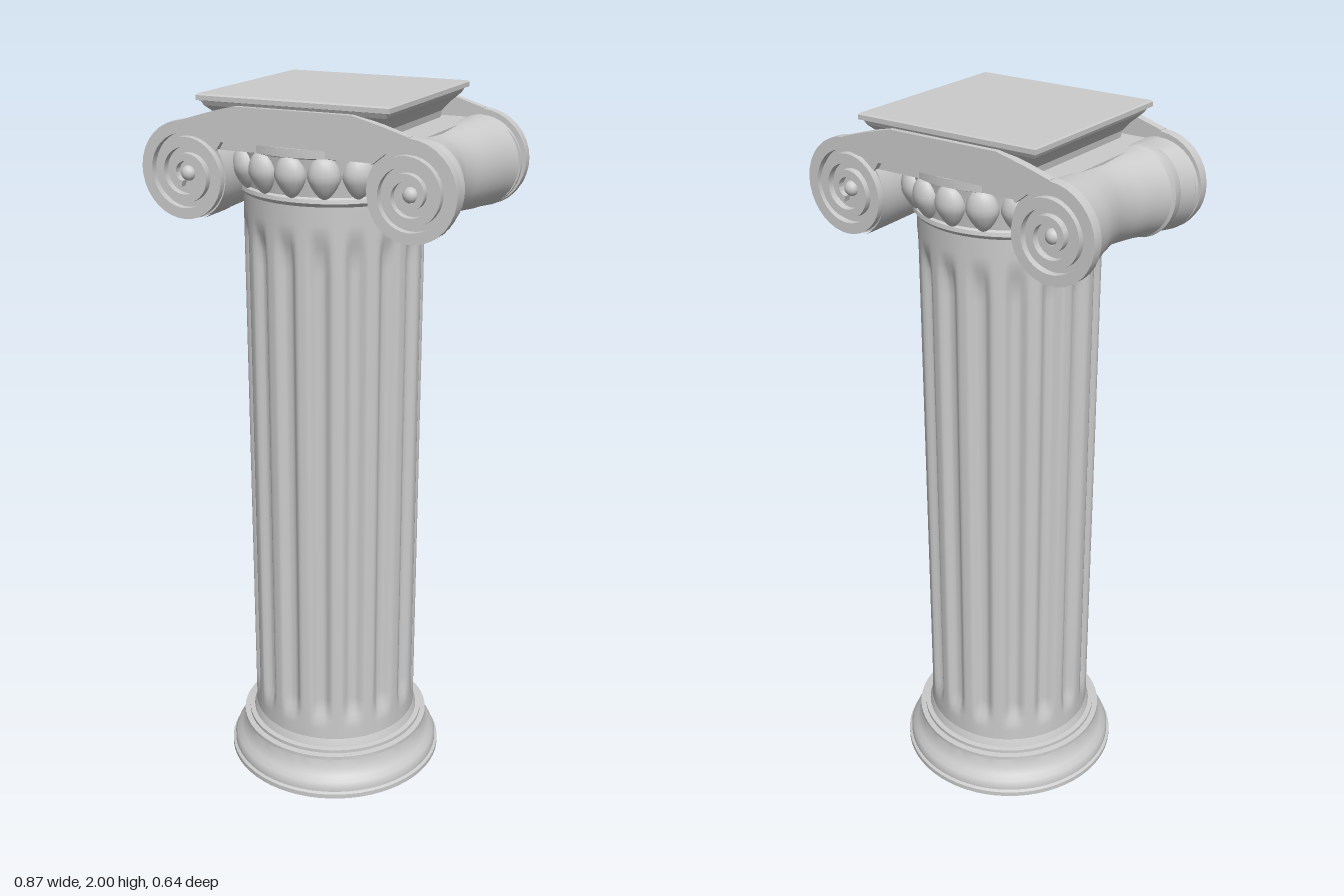
import * as THREE from 'three';
import { mergeVertices, toCreasedNormals } from 'three/addons/utils/BufferGeometryUtils.js';

const material = new THREE.MeshStandardMaterial({ color: 0xcccccc });
const AXIS_X = -0.012; // the column sits slightly off the capital's centre
const VOLUTE = { x: 0.31, y: 1.795 };
const FACE = 0.268; // front plane of the capital

function add(parent, name, geometry, x = 0, y = 0, z = 0) {
  const mesh = new THREE.Mesh(geometry, material);
  mesh.name = name;
  mesh.position.set(x, y, z);
  parent.add(mesh);
  return mesh;
}

const points = (list) => list.map(([x, y]) => new THREE.Vector2(x, y));

function lathe(list, segments = 64, crease = 0.5) {
  return toCreasedNormals(new THREE.LatheGeometry(points(list), segments), crease);
}

function extrude(shape, depth) {
  return toCreasedNormals(
    new THREE.ExtrudeGeometry(shape, { depth, bevelEnabled: false, curveSegments: 12 }), 0.5);
}

// Shaft: a cylinder with 16 flutes that fade out at both ends
function shaftGeometry() {
  const rows = [0.13, 0.19, 0.21, 0.23, 0.25, 0.28, 0.9, 1.56, 1.6, 1.63, 1.65, 1.67, 1.69, 1.75];
  const sides = 192;
  let g = new THREE.CylinderGeometry(1, 1, 1, sides, rows.length - 1, true);
  const p = g.attributes.position;
  for (let i = 0; i < p.count; i++) {
    const y = rows[rows.length - 1 - Math.floor(i / (sides + 1))];
    const a = Math.atan2(p.getX(i), p.getZ(i));
    const fade = THREE.MathUtils.smoothstep(y, 0.19, 0.28)
      * (1 - THREE.MathUtils.smoothstep(y, 1.58, 1.69));
    const groove = THREE.MathUtils.smoothstep(Math.cos(16 * (a - 0.285)), -0.6, 0.9);
    const r = 0.242 - 0.02 * fade * groove;
    p.setXYZ(i, r * Math.sin(a), y, r * Math.cos(a));
  }
  g.deleteAttribute('uv');
  g.deleteAttribute('normal');
  g = mergeVertices(g, 1e-5);
  g.computeVertexNormals();
  return g;
}

// Egg of the ornament: an ellipsoid narrowing towards the bottom
function eggGeometry() {
  const g = new THREE.SphereGeometry(1, 16, 14);
  const p = g.attributes.position;
  for (let i = 0; i < p.count; i++) {
    const y = p.getY(i);
    const k = y < 0 ? 1 + 0.35 * y : 1;
    p.setXYZ(i, p.getX(i) * 0.043 * k, y * 0.055, p.getZ(i) * 0.033 * k);
  }
  g.computeVertexNormals();
  return g;
}

// Bolster: oval tube along z, waisted in the middle, with a strap near the front
function bolsterGeometry(side) {
  // z, outer x, vertical radius
  const rows = [
    [0.262, 0.434, 0.122], [0.24, 0.432, 0.122], [0.187, 0.407, 0.118], [0.183, 0.41, 0.119],
    [0.152, 0.413, 0.119], [0.148, 0.404, 0.116], [0.1, 0.385, 0.112], [0.05, 0.372, 0.109],
    [0, 0.36, 0.107], [-0.05, 0.372, 0.109], [-0.1, 0.384, 0.112], [-0.15, 0.4, 0.116],
    [-0.19, 0.407, 0.118], [-0.24, 0.426, 0.122], [-0.262, 0.434, 0.122],
  ];
  const sides = 40;
  const g = new THREE.CylinderGeometry(1, 1, 2, sides, rows.length - 1, true);
  g.rotateX(Math.PI / 2);
  const p = g.attributes.position;
  for (let i = 0; i < p.count; i++) {
    const [z, outer, ry] = rows[Math.floor(i / (sides + 1))];
    const inner = 0.192;
    const x = side * (outer + inner) / 2 + p.getX(i) * (outer - inner) / 2;
    p.setXYZ(i, x, VOLUTE.y + p.getY(i) * ry, z);
  }
  return toCreasedNormals(g, 0.6);
}

// Spiral rim of a volute, tapering towards the eye
function spiralShape(side) {
  const outer = [], inner = [];
  const steps = 84, start = -0.25, end = 2.2;
  for (let i = 0; i <= steps; i++) {
    const t = start + (end - start) * i / steps;
    const a = Math.PI + t * 2 * Math.PI;
    const r = 0.127 - 0.042 * t;
    const w = 0.03 - 0.006 * t;
    const at = (d) => new THREE.Vector2(side * (VOLUTE.x - d * Math.cos(a)), VOLUTE.y + d * Math.sin(a));
    outer.push(at(r));
    inner.push(at(r - w));
  }
  return new THREE.Shape([...outer, ...inner.reverse()]);
}

// Band that joins the two volutes across the face
function bandShape() {
  const right = [[0.16, 1.975], [0.24, 1.955], [0.31, 1.934], [0.31, 1.902],
    [0.25, 1.89], [0.215, 1.862], [0.2, 1.885]];
  const left = right.map(([x, y]) => [-x, y]).reverse();
  return new THREE.Shape(points([...right, ...left]));
}

export function createModel() {
  const model = new THREE.Group();
  model.name = 'ionicColumn';

  // Base and shaft
  add(model, 'base', lathe([
    [0, 0], [0.32, 0], [0.32, 0.014], [0.312, 0.018], [0.312, 0.03], [0.306, 0.045],
    [0.292, 0.058], [0.28, 0.078], [0.275, 0.105], [0.28, 0.108], [0.28, 0.118],
    [0.264, 0.12], [0.264, 0.13], [0.25, 0.132], [0.246, 0.145], [0.24, 0.16],
  ]), AXIS_X);
  add(model, 'shaft', shaftGeometry(), AXIS_X);

  // Neck ring, echinus and its eggs
  add(model, 'echinus', lathe([
    [0.238, 1.735], [0.246, 1.74], [0.252, 1.748], [0.25, 1.758], [0.243, 1.762],
    [0.248, 1.8], [0.258, 1.858], [0.268, 1.862], [0.268, 1.884], [0, 1.884],
  ]), AXIS_X);
  const eggs = new THREE.Group();
  eggs.name = 'eggOrnament';
  eggs.position.x = AXIS_X;
  model.add(eggs);
  const egg = eggGeometry();
  for (let i = 0; i < 18; i++) {
    const a = i / 18 * Math.PI * 2;
    const mesh = add(eggs, 'egg', egg, 0.25 * Math.sin(a), 1.812, 0.25 * Math.cos(a));
    mesh.rotation.set(0.1, a, 0, 'YXZ');
  }

  // Bolsters, with the core block between them
  add(model, 'capitalCore', new THREE.BoxGeometry(0.58, 0.045, 0.5), 0, 1.885, 0);
  for (const side of [-1, 1]) add(model, 'bolster', bolsterGeometry(side));

  // Front and back faces: band, spirals, recessed discs and eyes
  for (const dir of [1, -1]) {
    const face = new THREE.Group();
    face.name = dir > 0 ? 'frontFace' : 'backFace';
    model.add(face);
    const slab = (name, shape, top, depth) =>
      add(face, name, extrude(shape, depth), 0, 0, dir > 0 ? top - depth : -top);
    slab('voluteBand', bandShape(), FACE - 0.0005, 0.024);
    for (const side of [-1, 1]) {
      slab('voluteSpiral', spiralShape(side), FACE, 0.03);
      const disc = new THREE.CylinderGeometry(0.117, 0.117, 0.02, 40).rotateX(Math.PI / 2);
      add(face, 'voluteDisc', disc, side * VOLUTE.x, VOLUTE.y, dir * 0.238);
      const eye = new THREE.SphereGeometry(0.02, 16, 10).scale(1, 1, 0.9);
      add(face, 'voluteEye', eye, side * VOLUTE.x, VOLUTE.y, dir * 0.248);
    }
  }

  // Square abacus: a four-sided lathe with flared sides
  const k = Math.SQRT2;
  const abacus = new THREE.LatheGeometry(points([
    [0, 1.885], [0.205, 1.885], [0.21, 1.925], [0.225, 1.945], [0.25, 1.97], [0.256, 1.982],
    [0.265, 1.984], [0.265, 1.996], [0.261, 2], [0, 2],
  ].map(([r, y]) => [r * k, y])), 4, Math.PI / 4);
  add(model, 'abacus', toCreasedNormals(abacus, 0.3), -0.005);

  return model;
}
